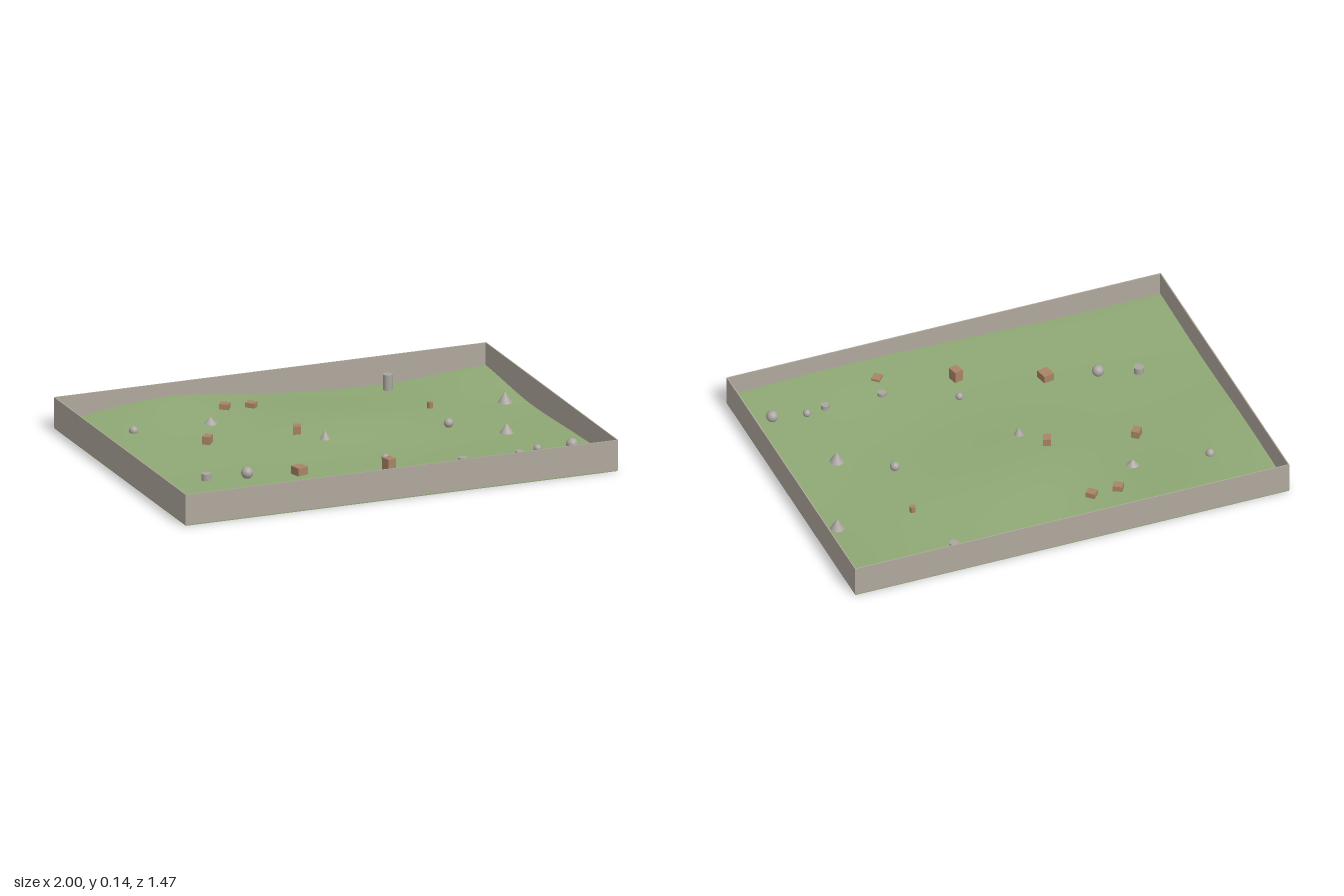
import * as THREE from 'three';

const mat = (name, color, side = THREE.FrontSide) => {
  const m = new THREE.MeshStandardMaterial({ color, side });
  m.name = name;
  return m;
};

const HX = 1, HZ = 0.737, WALL = 0.005, TOP = 0.14;

// Ground heights on a coarse grid, 5 across x and 4 along z
const HEIGHTS = [
  [0.03, 0.08, 0.035, 0.012, 0.04],
  [0.035, 0.045, 0.065, 0.032, 0.015],
  [0.025, 0.03, 0.045, 0.035, 0.03],
  [0.035, 0.035, 0.05, 0.06, 0.045],
];

// Smooth interpolation through evenly spaced values, t from 0 to 1
function smooth(values, t) {
  const n = values.length - 1;
  const i = Math.min(Math.floor(t * n), n - 1);
  const at = (k) => values[Math.max(0, Math.min(n, k))];
  const f = t * n - i;
  const a = at(i - 1), b = at(i), c = at(i + 1), d = at(i + 2);
  return b + 0.5 * f * (c - a + f * (2 * a - 5 * b + 4 * c - d + f * (3 * (b - c) + d - a)));
}

const groundY = (x, z) =>
  smooth(HEIGHTS.map((row) => smooth(row, (x + HX) / (2 * HX))), (z + HZ) / (2 * HZ));

export function createModel() {
  const model = new THREE.Group();
  model.name = 'terrainTray';
  const grass = mat('grass', 0x8fa875);
  const wall = mat('wall', 0xb0a99d);
  const stone = mat('stone', 0xaaa59f);
  const clay = mat('clay', 0xa98466);

  const add = (name, geometry, material, x, y, z, parent = model) => {
    const mesh = new THREE.Mesh(geometry, material);
    mesh.name = name;
    mesh.position.set(x, y, z);
    parent.add(mesh);
    return mesh;
  };

  // Rolling ground
  const ground = new THREE.PlaneGeometry(2 * HX - WALL, 2 * HZ - WALL, 64, 48).rotateX(-Math.PI / 2);
  const p = ground.attributes.position;
  for (let i = 0; i < p.count; i++) p.setY(i, groundY(p.getX(i), p.getZ(i)));
  ground.computeVertexNormals();
  add('ground', ground, grass, 0, 0, 0);

  // Flat underside
  add('base', new THREE.BoxGeometry(2 * HX - 0.004, 0.006, 2 * HZ - 0.004), grass, 0, 0.003, 0);

  // Four thin walls
  const wallH = TOP - 0.005, wallY = 0.005 + wallH / 2;
  for (const s of [-1, 1]) {
    add(s > 0 ? 'frontWall' : 'backWall', new THREE.BoxGeometry(2 * HX, wallH, WALL), wall,
      0, wallY, s * (HZ - WALL / 2));
    add(s > 0 ? 'leftWall' : 'rightWall', new THREE.BoxGeometry(WALL, wallH, 2 * HZ - 2 * WALL), wall,
      s * (HX - WALL / 2), wallY, 0);
  }

  // Round stones: x, centre y, z, radius
  for (const [x, y, z, r] of [
    [-0.76, 0.053, -0.425, 0.02], [0.525, 0.053, -0.01, 0.021], [-0.535, 0.052, 0.3, 0.026],
    [0.085, 0.057, 0.345, 0.017], [0.735, 0.058, 0.475, 0.017], [0.885, 0.066, 0.5, 0.026],
  ]) add('roundStone', new THREE.SphereGeometry(r, 16, 12), stone, x, y, z);

  // Upright parts run from just below the ground to a given top
  const upright = (x, z, top) => {
    const bottom = Math.min(groundY(x, z), top - 0.024) - 0.004;
    return { h: top - bottom, y: (top + bottom) / 2 };
  };

  // Cone stones: x, apex y, z, radius
  for (const [x, top, z, r] of [
    [-0.42, 0.085, -0.385, 0.032], [0.9, 0.067, -0.285, 0.034],
    [-0.05, 0.094, 0, 0.024], [0.73, 0.075, 0.145, 0.034],
  ]) {
    const { h, y } = upright(x, z, top);
    add('coneStone', new THREE.ConeGeometry(r, h, 12), stone, x, y, z);
  }

  // Round posts: x, top y, z, radius, material
  for (const [x, top, z, r, m] of [
    [0.508, 0.084, -0.647, 0.021, stone], [-0.705, 0.057, 0.255, 0.022, stone],
    [0.385, 0.064, 0.487, 0.019, stone], [0.643, 0.064, 0.495, 0.018, stone],
    [0.562, 0.055, -0.306, 0.013, clay],
  ]) {
    const { h, y } = upright(x, z, top);
    add('post', new THREE.CylinderGeometry(r, r, h, 14), m, x, y, z);
  }

  // Blocks: x, top y, z, width, depth, turn in degrees
  for (const [x, top, z, w, d, turn] of [
    [-0.295, 0.088, -0.53, 0.042, 0.038, -32], [-0.175, 0.08, -0.523, 0.043, 0.038, -45],
    [-0.52, 0.075, -0.178, 0.035, 0.045, -40], [-0.135, 0.095, -0.11, 0.034, 0.043, -20],
    [-0.315, 0.07, 0.352, 0.05, 0.055, 13], [0.048, 0.1, 0.478, 0.04, 0.046, 15],
    [0.363, 0.064, 0.598, 0.038, 0.045, -43],
  ]) {
    const { h, y } = upright(x, z, top);
    add('block', new THREE.BoxGeometry(w, h, d), clay, x, y, z).rotation.y = THREE.MathUtils.degToRad(turn);
  }

  return model;
}
